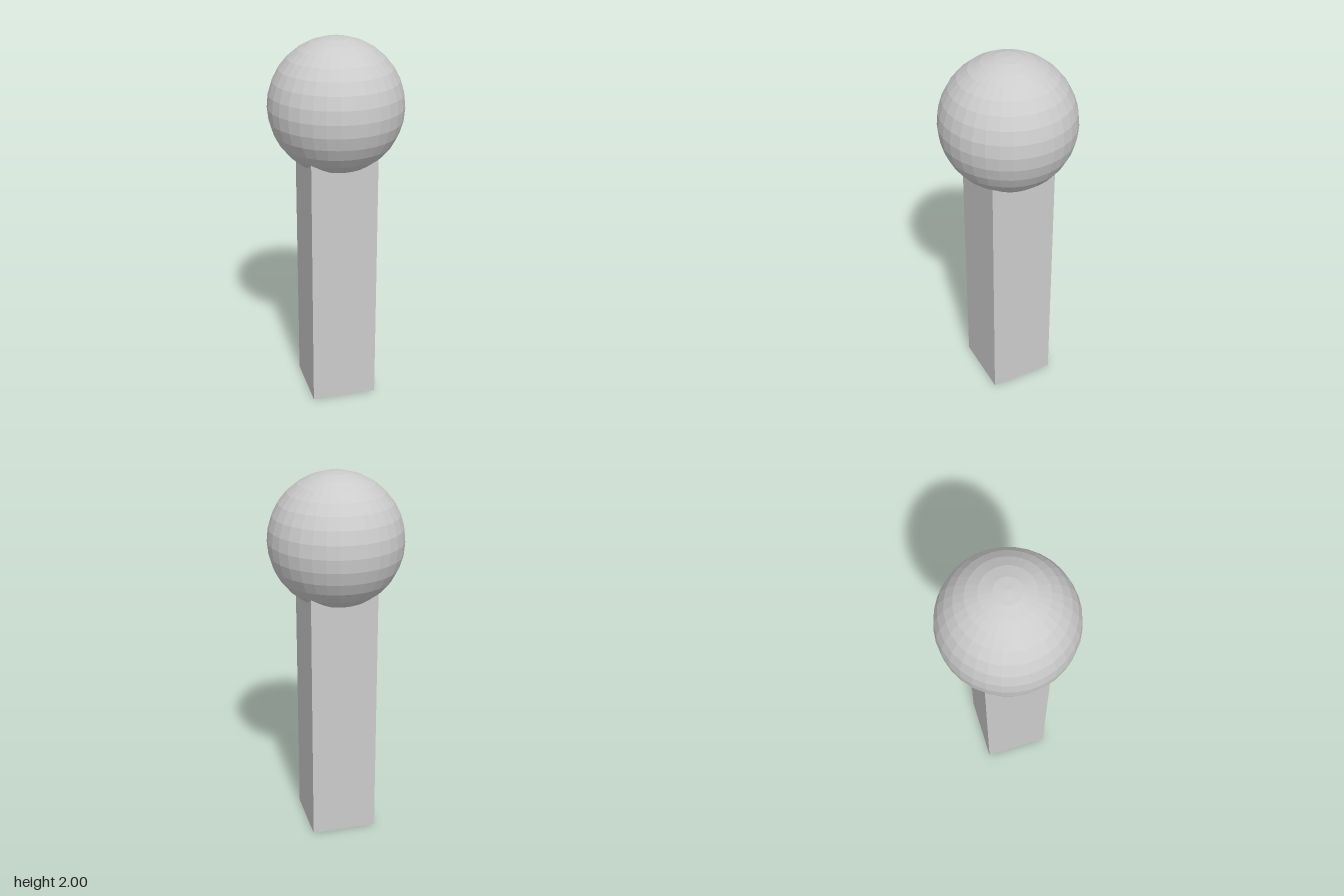
import * as THREE from 'three';

export function createModel() {
  const group = new THREE.Group();
  const material = new THREE.MeshStandardMaterial({ color: 0xcccccc, flatShading: true });

  const addPart = (name, geometry, y) => {
    const mesh = new THREE.Mesh(geometry, material);
    mesh.name = name;
    mesh.position.y = y;
    group.add(mesh);
  };

  const radius = 0.355;
  const postWidth = 0.355;
  const postHeight = 1.42; // top is buried inside the ball

  // Square post standing on the ground
  addPart('post', new THREE.BoxGeometry(postWidth, postHeight, postWidth), postHeight / 2);

  // Faceted ball resting on the post
  addPart('ball', new THREE.SphereGeometry(radius, 32, 16), 2 - radius);

  return group;
}
